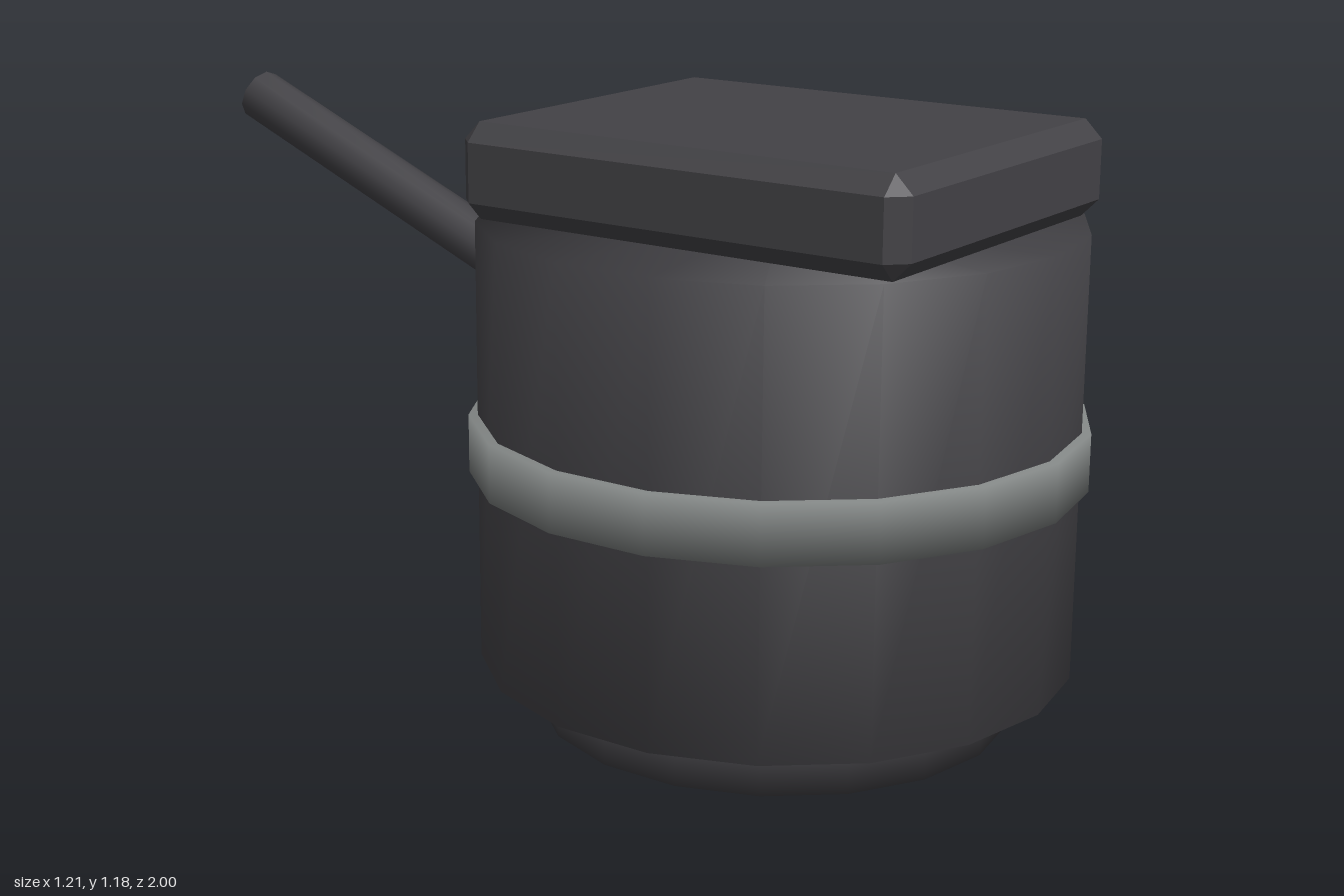
import * as THREE from 'three';
import { mergeVertices } from 'three/addons/utils/BufferGeometryUtils.js';
import { ConvexGeometry } from 'three/addons/geometries/ConvexGeometry.js';

const CX = -0.012, CZ = 0.395; // axis of the round body

const material = (name, color) => {
  const m = new THREE.MeshStandardMaterial({ color });
  m.name = name;
  return m;
};

// Cylinder whose normals are smoothed across the rims
function softCylinder(radius, height, sides) {
  const g = new THREE.CylinderGeometry(radius, radius, height, sides);
  g.deleteAttribute('normal');
  g.deleteAttribute('uv');
  const merged = mergeVertices(g);
  merged.computeVertexNormals();
  return merged;
}

// Box with every edge chamfered, flat faces
function chamferedBox(hx, hy, hz, c) {
  const points = [];
  for (const sx of [-1, 1]) for (const sy of [-1, 1]) for (const sz of [-1, 1]) {
    points.push(
      new THREE.Vector3(sx * hx, sy * (hy - c), sz * (hz - c)),
      new THREE.Vector3(sx * (hx - c), sy * hy, sz * (hz - c)),
      new THREE.Vector3(sx * (hx - c), sy * (hy - c), sz * hz));
  }
  return new ConvexGeometry(points);
}

export function createModel() {
  const dark = material('charcoal', 0x434246);
  const grey = material('steel grey', 0x838786);
  const red = material('signal red', 0xd0543a);
  const model = new THREE.Group();
  model.name = 'canister';

  const add = (name, geometry, mat, x, y, z) => {
    const mesh = new THREE.Mesh(geometry, mat);
    mesh.name = name;
    mesh.position.set(x, y, z);
    model.add(mesh);
    return mesh;
  };
  const drum = (name, radius, y0, y1, mat) =>
    add(name, softCylinder(radius, y1 - y0, 18), mat, CX, (y0 + y1) / 2, CZ);

  // Round stack: foot, body and band
  drum('foot', 0.469, 0, 0.112, dark);
  drum('body', 0.587, 0.112, 0.99, dark);
  drum('band', 0.605, 0.493, 0.608, grey);

  // Chamfered rectangular lid
  add('lid', chamferedBox(0.391, 0.094, 0.489, 0.036), dark, CX, 1.084, CZ);

  // Handle rising towards the back
  const start = new THREE.Vector3(CX, 0.785, -0.2);
  const end = new THREE.Vector3(CX, 1.103, -0.98);
  const mid = start.clone().lerp(end, 0.5);
  const handle = add('handle', softCylinder(0.055, start.distanceTo(end), 10), dark, mid.x, mid.y, mid.z);
  handle.rotation.x = Math.atan2(end.z - start.z, end.y - start.y);

  // Small button on the left side
  add('button', new THREE.BoxGeometry(0.06, 0.078, 0.096), red, 0.575, 0.786, CZ);

  return model;
}
